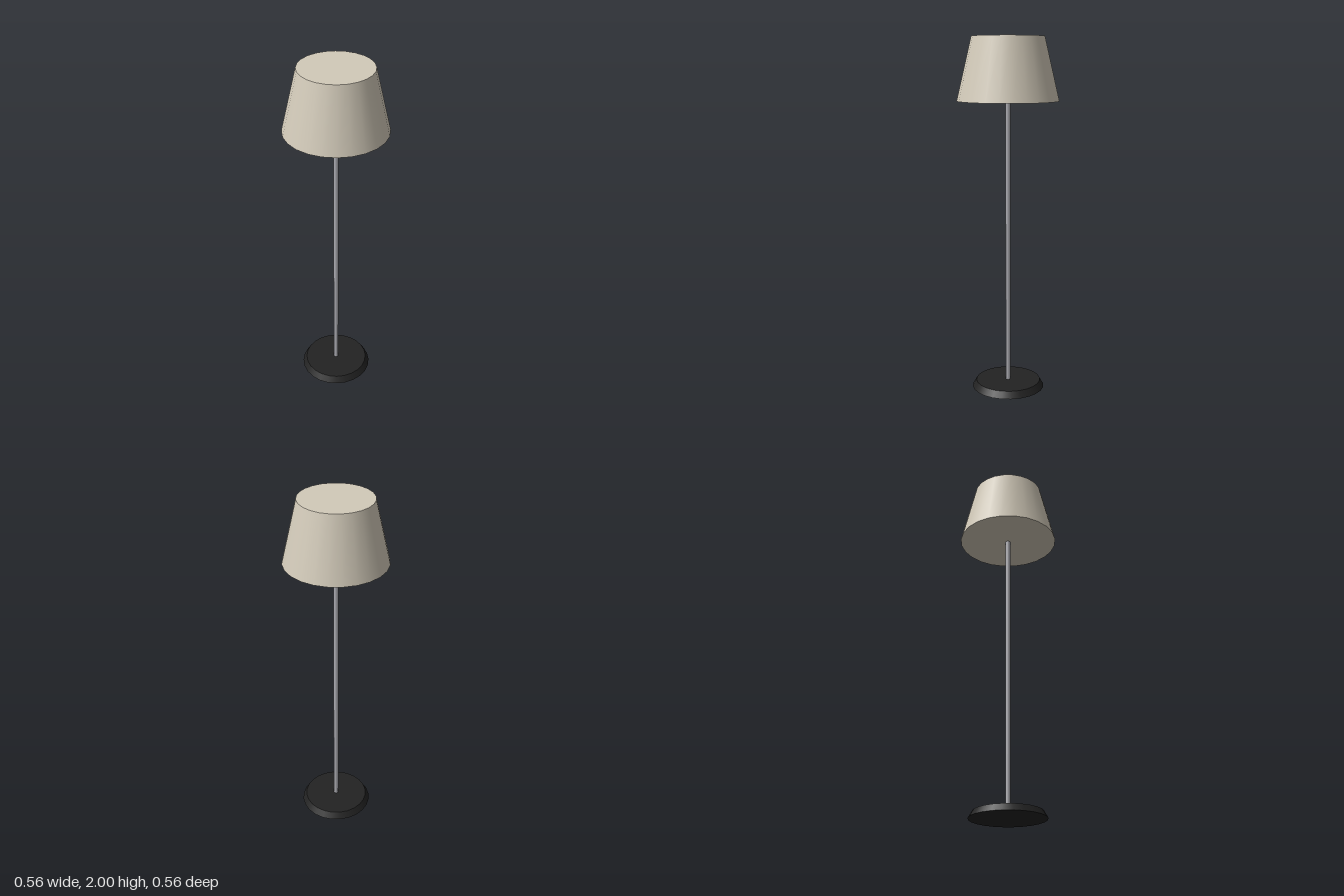
import * as THREE from 'three';

const flat = (name, color) => {
  const m = new THREE.MeshStandardMaterial({ color });
  m.name = name;
  return m;
};

export function createModel() {
  const lamp = new THREE.Group();
  lamp.name = 'floorLamp';

  const fabric = flat('beige fabric', 0xd2cab9);
  const metal = flat('grey metal', 0xacacb2);
  const black = flat('black base', 0x222222);

  // Every part is a closed, round section standing between two heights
  const addRound = (name, material, rTop, rBottom, y0, y1, sides) => {
    const geometry = new THREE.CylinderGeometry(rTop, rBottom, y1 - y0, sides);
    const mesh = new THREE.Mesh(geometry, material);
    mesh.name = name;
    mesh.position.y = (y0 + y1) / 2;
    lamp.add(mesh);
  };

  addRound('base', black, 0.185, 0.207, 0, 0.038, 24);
  addRound('pole', metal, 0.014, 0.014, 0.03, 1.66, 12);
  addRound('shade', fabric, 0.2, 0.282, 1.653, 2, 24);

  return lamp;
}
